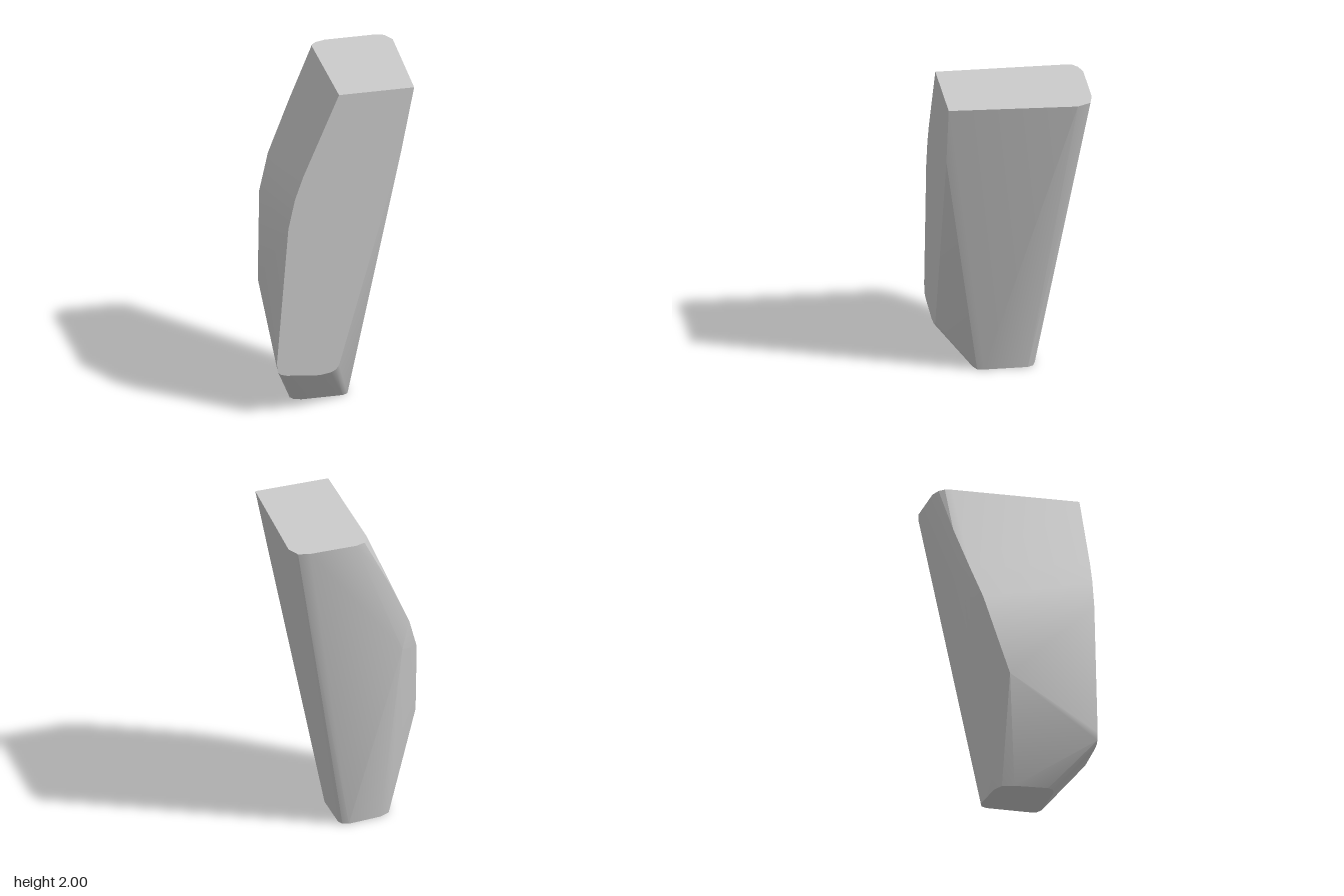
import * as THREE from 'three';
import { ConvexGeometry } from 'three/addons/geometries/ConvexGeometry.js';
import { toCreasedNormals } from 'three/addons/utils/BufferGeometryUtils.js';

export function createModel() {
  const group = new THREE.Group();
  group.name = 'taperedBlock';

  // flat front outline, [x, y] at z = 0.43
  const front = [
    [-0.08, 2], [-0.3, 1.5], [-0.35, 1.36], [-0.39, 1.18], [-0.46, 0.33], [-0.455, 0.28], [-0.44, 0.26], [-0.4, 0.248],
    [-0.2, 0.23], [-0.13, 0.24], [-0.1, 0.255], [-0.08, 0.28], [0.3, 1.6], [0.38, 2],
  ].map(([x, y]) => new THREE.Vector3(x, y, 0.43));

  // rounded rear of the top cap, [x, z] at y = 2
  const top = [
    [0.46, -0.33], [0.43, -0.41], [0.36, -0.43], [0.07, -0.43], [0.01, -0.41], [-0.02, -0.38], [-0.03, -0.34],
  ].map(([x, z]) => new THREE.Vector3(x, 2, z));

  // small rounded base, [x, z] at y = 0
  const base = [
    [-0.31, 0.17], [-0.295, 0.205], [-0.25, 0.22], [0, 0.22], [0.035, 0.2], [0.045, 0.16],
    [0.06, -0.1], [0.045, -0.135], [0.01, -0.15], [-0.2, -0.13], [-0.26, -0.1], [-0.285, -0.03],
  ].map(([x, z]) => new THREE.Vector3(x, 0, z));

  // bulge along the rear corner, [x, y, z]
  const corner = [
    [-0.16, 1.68, -0.37], [-0.26, 1.2, -0.328], [-0.31, 1.37, -0.31], [-0.38, 1.16, -0.25], [-0.43, 0.66, -0.1],
  ].map((p) => new THREE.Vector3(...p));

  const hull = new ConvexGeometry([...front, ...top, ...base, ...corner]);
  const body = new THREE.Mesh(
    toCreasedNormals(hull, 0.45),
    new THREE.MeshStandardMaterial({ color: 0xcccccc }),
  );
  body.name = 'body';
  group.add(body);
  return group;
}
